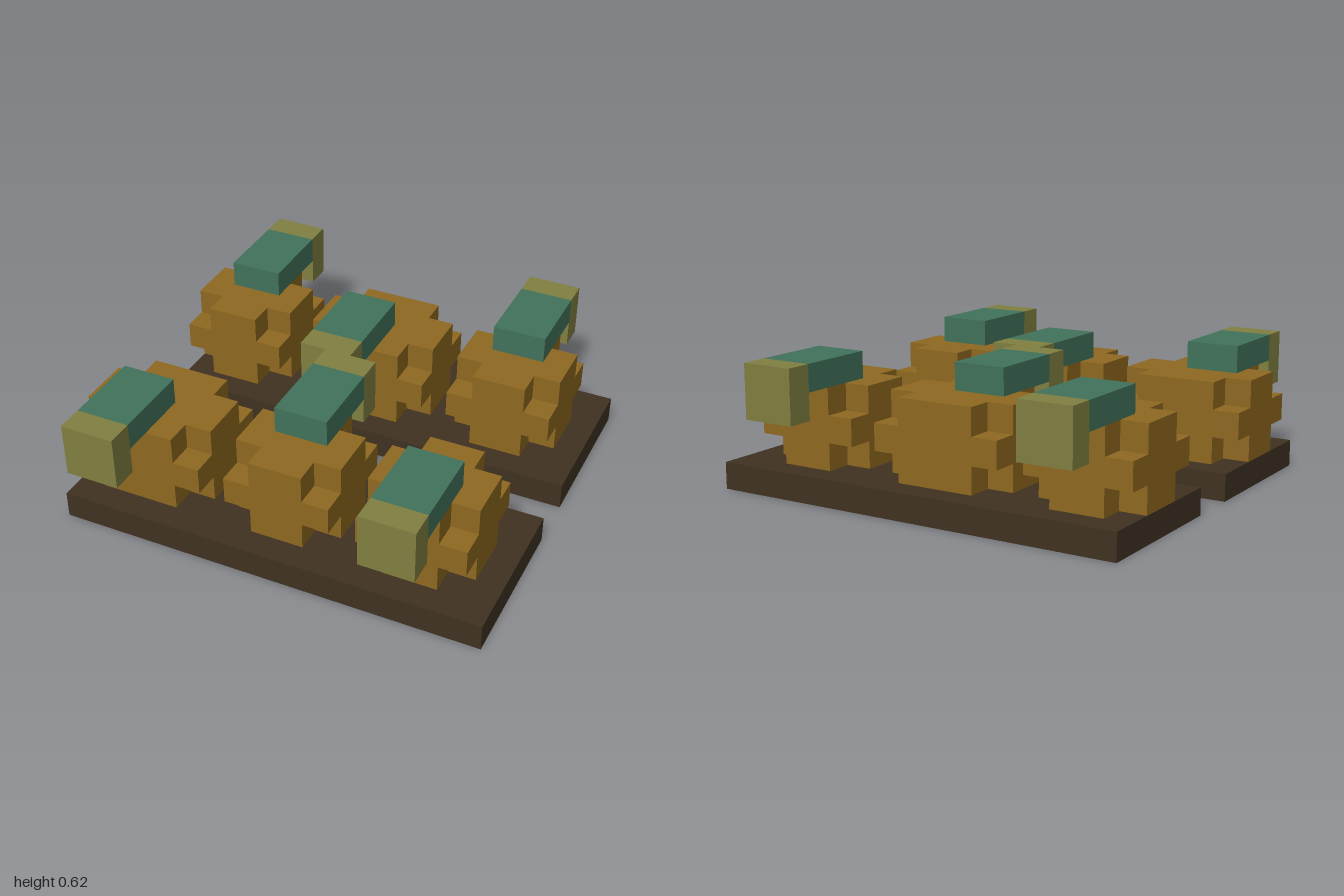
import * as THREE from 'three';

const U = 0.125; // block unit

const material = (name, color) => {
  const m = new THREE.MeshStandardMaterial({ color });
  m.name = name;
  return m;
};

export function createModel() {
  const model = new THREE.Group();
  model.name = 'twoRowsOfNotchedBlocks';

  const darkBrown = material('darkBrown', 0x403222);
  const amber = material('amber', 0x8f6920);
  const teal = material('teal', 0x41735b);
  const olive = material('olive', 0x818041);

  // Box given by its lower and upper corners, in block units
  const box = (parent, name, mat, [x0, y0, z0], [x1, y1, z1]) => {
    const geo = new THREE.BoxGeometry((x1 - x0) * U, (y1 - y0) * U, (z1 - z0) * U);
    const mesh = new THREE.Mesh(geo, mat);
    mesh.position.set((x0 + x1) * U / 2, (y0 + y1) * U / 2, (z0 + z1) * U / 2);
    mesh.name = name;
    parent.add(mesh);
  };

  // Three crossed boxes make a block with its eight corner cubes missing
  const notchedBlock = (x0, x1, z0, z1) => {
    const g = new THREE.Group();
    g.name = 'notchedBlock';
    box(g, 'blockAcrossDepth', amber, [x0 + 1, 1, z0], [x1 - 1, 4, z1]);
    box(g, 'blockAcrossWidth', amber, [x0, 1, z0 + 1], [x1, 4, z1 - 1]);
    box(g, 'blockMiddle', amber, [x0, 2, z0], [x1, 3, z1]);
    model.add(g);
  };

  // Flat arm from zIn to zOut, with a drooping end one unit beyond zOut
  const hook = (x, zIn, zOut) => {
    const g = new THREE.Group();
    g.name = 'hook';
    const end = zOut + Math.sign(zOut - zIn);
    box(g, 'hookArm', teal, [x, 4, Math.min(zIn, zOut)], [x + 2, 5, Math.max(zIn, zOut)]);
    box(g, 'hookEnd', olive, [x, 3, Math.min(zOut, end)], [x + 2, 5, Math.max(zOut, end)]);
    model.add(g);
  };

  // Front row (side 1) and back row (side -1)
  const rows = [
    { side: 1, blocks: [[-8, -3], [-2, 2], [3, 7]], innerHook: -1 },
    { side: -1, blocks: [[-8, -4], [-3, 2], [3, 7]], innerHook: -2 },
  ];
  for (const { side, blocks, innerHook } of rows) {
    const c = side * 4;
    box(model, 'basePlank', darkBrown, [-8, 0, c - 3], [8, 1, c + 3]);
    for (const [x0, x1] of blocks) notchedBlock(x0, x1, c - 2, c + 2);
    for (const x of [-7, 4]) hook(x, c, side * 7);
    hook(innerHook, c, side);
  }
  return model;
}
